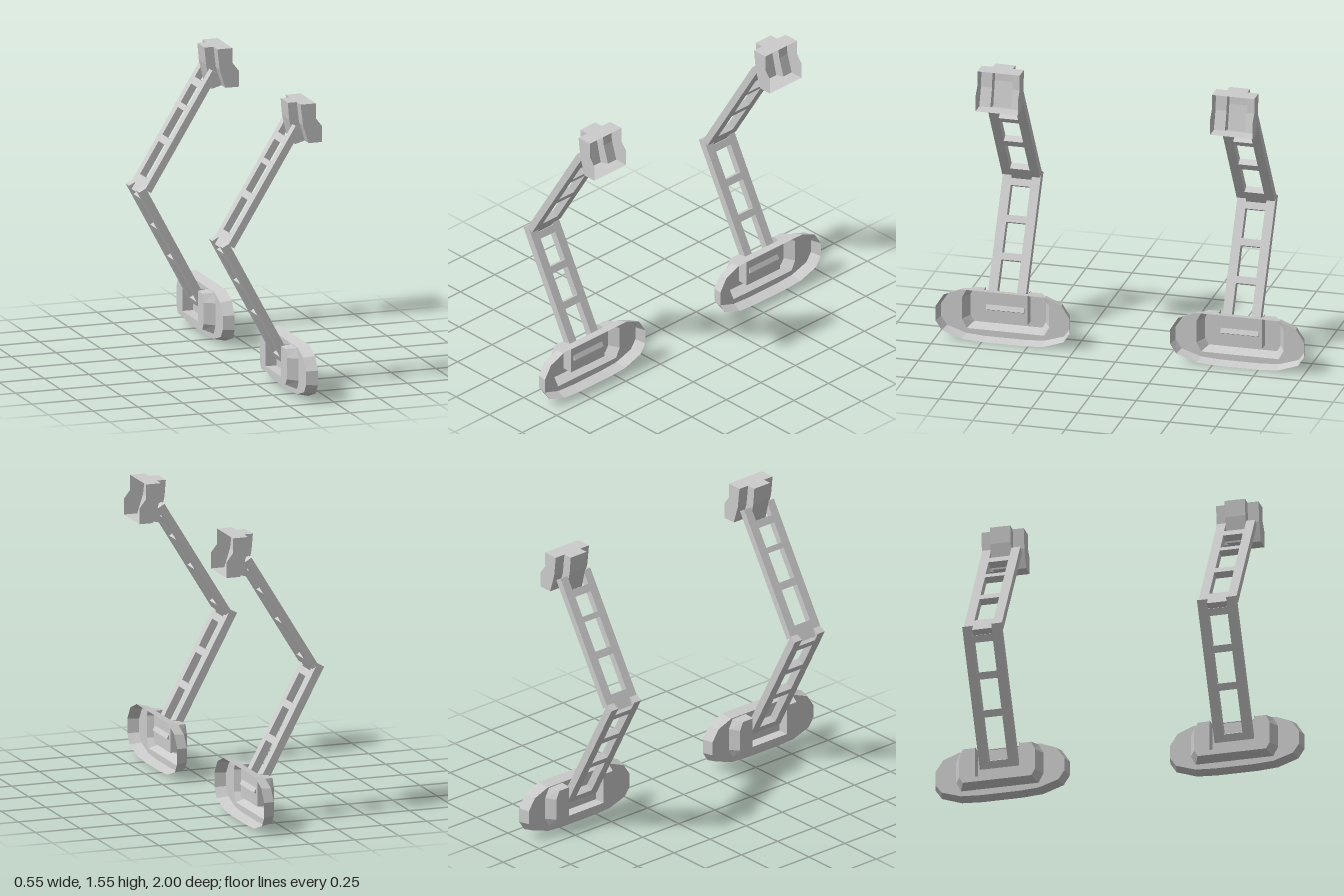
import * as THREE from 'three';

const material = new THREE.MeshStandardMaterial({ color: 0xcccccc, flatShading: true, side: THREE.DoubleSide });

function add(group, name, geometry) {
  const mesh = new THREE.Mesh(geometry, material);
  mesh.name = name;
  group.add(mesh);
  return mesh;
}

// thin skin stretched between two matching rows of [x, y, z] points
function skin(a, b, closed = false) {
  const pos = [];
  const n = closed ? a.length : a.length - 1;
  for (let i = 0; i < n; i++) {
    const j = (i + 1) % a.length;
    pos.push(...a[i], ...a[j], ...b[j], ...a[i], ...b[j], ...b[i]);
  }
  const g = new THREE.BufferGeometry();
  g.setAttribute('position', new THREE.Float32BufferAttribute(pos, 3));
  g.computeVertexNormals();
  return g;
}

const shapeOf = (pts) => new THREE.Shape(pts.map((p) => new THREE.Vector2(...p)));

// strip following an xy line from z0 to z1
const strip = (line, z0, z1) => skin(line.map(([x, y]) => [x, y, z0]), line.map(([x, y]) => [x, y, z1]));

// outline of [z, y] points placed at x
const atX = (pts, x) => pts.map(([z, y]) => [x, y, z]);

// flat plate facing along x, drawn with [z, y] points
function plateX(pts, x, hole) {
  const s = shapeOf(pts.map(([z, y]) => [-z, y]));
  if (hole) s.holes.push(new THREE.Path(hole.map(([z, y]) => new THREE.Vector2(-z, y))));
  return new THREE.ShapeGeometry(s).rotateY(Math.PI / 2).translate(x, 0, 0);
}

// right half listed top to bottom, completed by its mirror
const mirrored = (half) => [...half, ...half.map(([z, y]) => [-z, y]).reverse()];

// ladder-shaped strut: outline and windows in (across, along), laid along dir
function strut(outline, windows, origin, dir, thick) {
  const s = shapeOf(outline);
  for (const [u0, u1] of windows) {
    const w = 0.053;
    s.holes.push(new THREE.Path([[-w, u0], [-w, u1], [w, u1], [w, u0]].map((p) => new THREE.Vector2(...p))));
  }
  const g = new THREE.ExtrudeGeometry(s, { depth: thick, bevelEnabled: false }).translate(0, 0, -thick / 2);
  const d = new THREE.Vector3(dir[0], dir[1], 0).normalize();
  const m = new THREE.Matrix4().makeBasis(
    new THREE.Vector3(0, 0, 1), d, new THREE.Vector3(-d.y, d.x, 0));
  m.setPosition(origin[0], origin[1], 0);
  return g.applyMatrix4(m);
}

function createPad() {
  const pad = new THREE.Group();
  pad.name = 'pad';
  const rim = mirrored([[0.23, 0.288], [0.32, 0.25], [0.364, 0.18], [0.364, 0.1], [0.33, 0.048], [0.22, 0.01], [0.11, 0.003]]);
  const rimBack = rim.map(([z, y]) => [z * 0.96, 0.146 + (y - 0.146) * 0.91]);
  const n = 0.12; // half width of the socket
  const mouth = mirrored([[n, 0.272], [0.21, 0.27], [0.236, 0.22], [0.236, 0.1], [0.21, 0.05]]);
  const bottom = mirrored([[n, 0.265], [0.185, 0.265], [0.205, 0.22], [0.205, 0.105], [0.185, 0.072]]);

  add(pad, 'flaredRim', skin(atX(rimBack, 0.1), atX(rim, 0.16), true));
  add(pad, 'rimPlate', plateX(rimBack, 0.1, mouth));
  add(pad, 'recessWall', skin(atX(mouth, 0.1), atX(bottom, 0.045)));
  // back plate with an open notch for the strut
  add(pad, 'backPlate', plateX([...bottom, [-n, 0.1], [n, 0.1]], 0.045));
  const notch = [[n, 0.272], [n, 0.1], [-n, 0.1], [-n, 0.272]];
  add(pad, 'socketWall', skin(atX(notch, 0.045), atX(notch, 0.105)));
  add(pad, 'socketFront', plateX(notch, 0.105));
  return pad;
}

function createHead() {
  const head = new THREE.Group();
  head.name = 'head';
  const W = 0.115, N = 0.055;
  const back = [[0.155, 1.556], [0.168, 1.445], [0.2, 1.345]];
  const front = [[0.275, 1.345], [0.275, 1.43], [0.24, 1.475], [0.24, 1.556]];
  const stem = [[0.155, 1.556], [0.105, 1.556], [0.113, 1.465], [0.145, 1.33], [0.2, 1.345]];
  add(head, 'roof', strip([back[0], front[3]], -W, W));
  add(head, 'floor', strip([back[2], front[0]], -W, W));
  add(head, 'stemShell', strip(stem, -N, N));
  for (const s of [-1, 1]) {
    add(head, 'sideWall', new THREE.ShapeGeometry(shapeOf([...back, ...front])).translate(0, 0, s * W));
    add(head, 'backWall', strip(back, s * N, s * W));
    add(head, 'stemSide', new THREE.ShapeGeometry(shapeOf([...stem, back[1]])).translate(0, 0, s * N));
  }
  return head;
}

function createArm() {
  const arm = new THREE.Group();
  const R = 0.103, I = 0.055;
  arm.add(createPad(), createHead());
  // lower strut, forked at the knee
  add(arm, 'lowerStrut', strut(
    [[-R, 0], [R, 0], [R, 0.754], [I, 0.754], [I, 0.702], [-I, 0.702], [-I, 0.754], [-R, 0.754]],
    [[0.04, 0.269], [0.307, 0.469], [0.507, 0.664]],
    [0.0995, 0.163], [-0.473, 0.881], 0.042));
  // upper strut, with a knee tongue below and a fork round the head stem
  add(arm, 'upperStrut', strut(
    [[-0.053, 0], [0.053, 0], [0.053, 0.035], [R, 0.035], [R, 0.751], [I, 0.751], [I, 0.675],
      [-I, 0.675], [-I, 0.751], [-R, 0.751], [-R, 0.035], [-0.053, 0.035]],
    [[0.09, 0.288], [0.328, 0.493], [0.523, 0.634]],
    [-0.245, 0.79], [0.523, 0.852], 0.039));
  return arm;
}

export function createModel() {
  const model = new THREE.Group();
  model.name = 'armPair';
  for (const s of [-1, 1]) {
    const arm = createArm();
    arm.name = s > 0 ? 'frontArm' : 'rearArm';
    arm.position.z = s * 0.636;
    model.add(arm);
  }
  return model;
}
